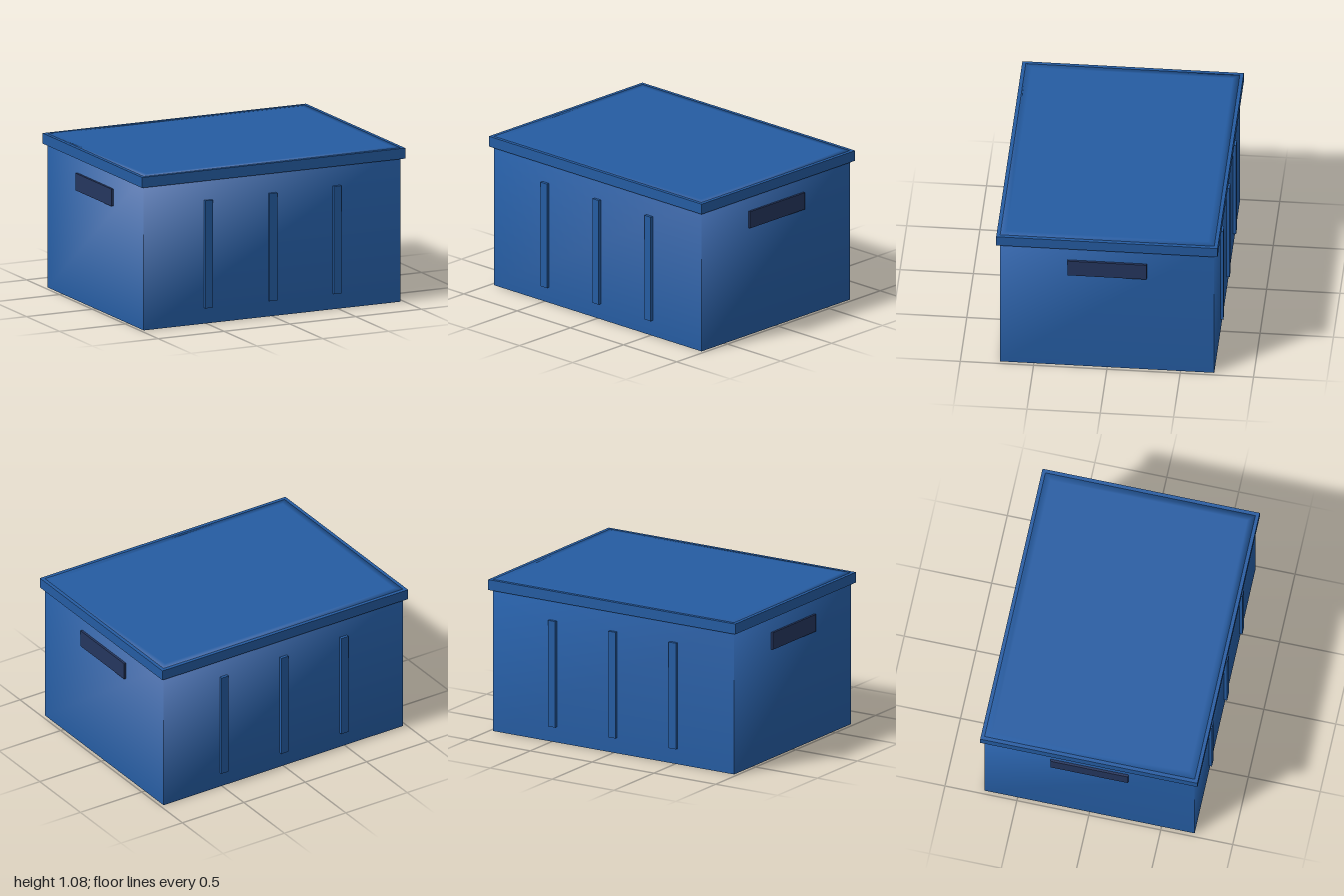
import * as THREE from 'three';

const blue = new THREE.MeshStandardMaterial({ color: 0x255ca2 });
blue.name = 'blue plastic';
const navy = new THREE.MeshStandardMaterial({ color: 0x25365e });
navy.name = 'dark navy';

// Rectangular ring of four corners, counter-clockwise seen from above
const ring = (x, y, z) => [[-x, y, z], [x, y, z], [x, y, -z], [-x, y, -z]];

// Container: crisp at the base, normals blended around the top rim
function containerGeometry() {
  const base = ring(0.975, 0, 0.73);
  const rim = ring(0.975, 1.073, 0.73);
  const crown = ring(0.93, 1.076, 0.685);
  const up = [0, 1, 0];
  const blended = rim.map(([x, , z]) =>
    new THREE.Vector3(Math.sign(x), 1, Math.sign(z)).normalize().toArray());
  const positions = [], normals = [];
  const quad = (points, directions) => {
    for (const i of [0, 1, 2, 0, 2, 3]) {
      positions.push(...points[i]);
      normals.push(...directions[i]);
    }
  };
  const sides = [[0, 0, 1], [1, 0, 0], [0, 0, -1], [-1, 0, 0]];
  sides.forEach((n, i) => {
    const j = (i + 1) % 4;
    quad([base[i], base[j], rim[j], rim[i]], [n, n, blended[j], blended[i]]);
    quad([rim[i], rim[j], crown[j], crown[i]], [blended[i], blended[j], up, up]);
  });
  quad(crown, [up, up, up, up]);
  const down = [0, -1, 0];
  quad([...base].reverse(), [down, down, down, down]);

  const geometry = new THREE.BufferGeometry();
  geometry.setAttribute('position', new THREE.Float32BufferAttribute(positions, 3));
  geometry.setAttribute('normal', new THREE.Float32BufferAttribute(normals, 3));
  return geometry;
}

export function createModel() {
  const model = new THREE.Group();
  model.name = 'storageBox';

  const add = (name, geometry, material, x = 0, y = 0, z = 0) => {
    const mesh = new THREE.Mesh(geometry, material);
    mesh.name = name;
    mesh.position.set(x, y, z);
    model.add(mesh);
  };

  add('container', containerGeometry(), blue);

  // Overhanging lid with the low raised panel showing through its top
  add('lid', new THREE.BoxGeometry(2, 0.073, 1.51), blue, 0, 1.0365, 0);

  // Three upright ribs on the front and on the back
  const rib = new THREE.BoxGeometry(0.058, 0.75, 0.04);
  for (const side of [1, -1]) {
    for (const x of [-0.488, 0, 0.488]) {
      add(side > 0 ? 'frontRib' : 'backRib', rib, blue, x, 0.485, side * 0.731);
    }
  }

  // A grip on each end
  const grip = new THREE.BoxGeometry(0.04, 0.12, 0.54);
  for (const side of [1, -1]) {
    add(side > 0 ? 'leftHandle' : 'rightHandle', grip, navy, side * 0.971, 0.832, 0);
  }

  return model;
}
